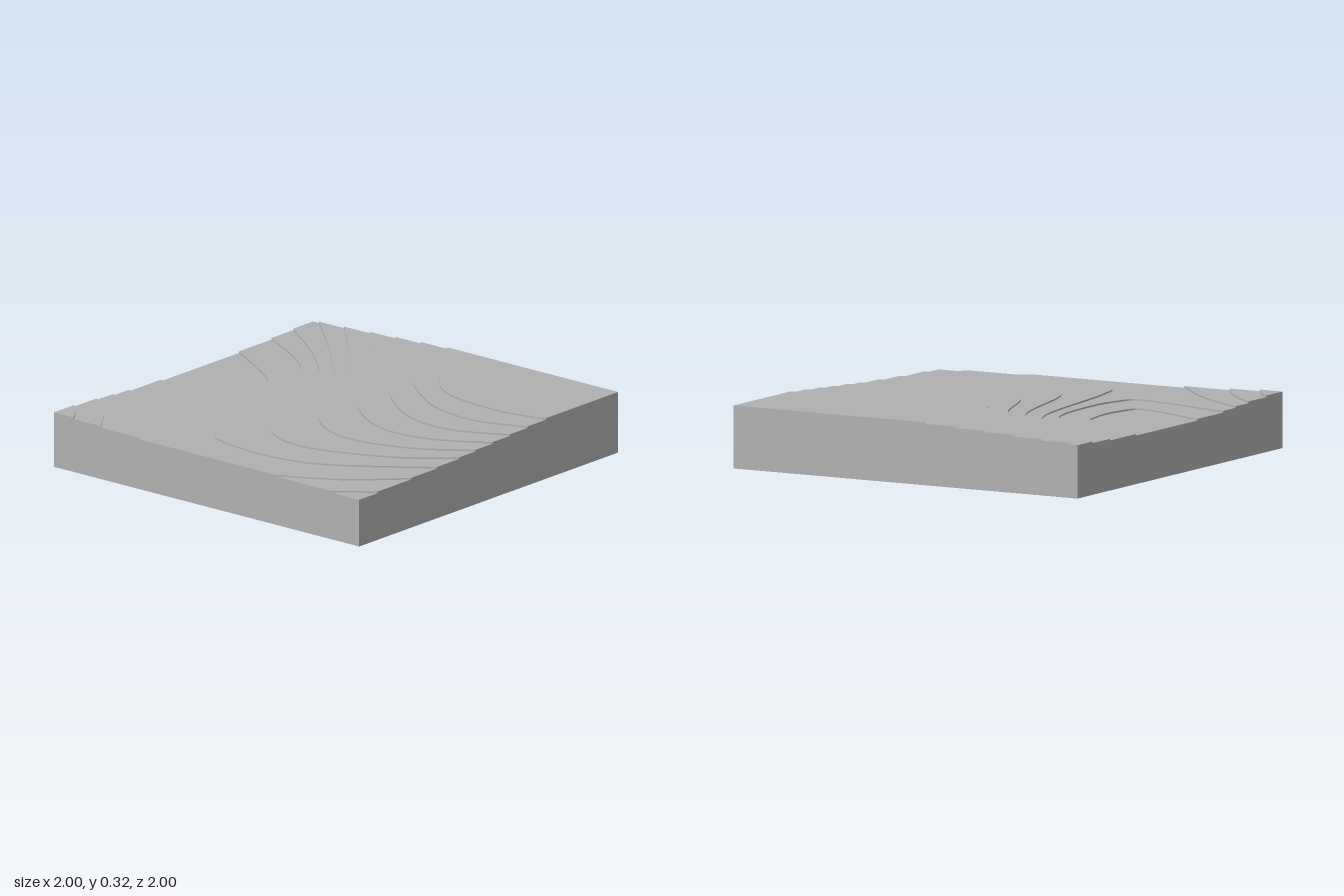
import * as THREE from 'three';

const BASE = 0.245; // height of the lowest terrace
const STEP = 0.0081; // rise of each terrace
const FRONT_LEFT = new THREE.Vector2(1, 1);
const BACK_LEFT = new THREE.Vector2(1, -1);
const BACK_RIGHT = new THREE.Vector2(-1, -1);

// Smooth contour through x, z pairs, kept inside the square
function contour(...xz) {
  const points = [];
  for (let i = 0; i < xz.length; i += 2) points.push(new THREE.Vector2(xz[i], xz[i + 1]));
  return new THREE.SplineCurve(points).getPoints(points.length * 8).map((p) => p.clampScalar(-1, 1));
}

// Main slope contour for levels 4 to 9, blended between levels 4, 6 and 9
const SLOPE = {
  4: [-0.23, 1, -0.45, 0.7, -0.59, 0.25, -0.42, -0.06, 0.24, -0.25, 0.6, -0.54, 1, -0.96],
  6: [0.03, 1, -0.13, 0.7, -0.14, 0.4, 0.04, 0.11, 0.35, -0.09, 0.65, -0.33, 1, -0.63],
  9: [0.44, 1, 0.39, 0.75, 0.41, 0.45, 0.47, 0.3, 0.56, 0.2, 0.76, 0.03, 1, -0.12],
};
function slopeOutline(k) {
  const low = ((k - 6) * (k - 9)) / 10;
  const mid = ((k - 4) * (k - 9)) / -6;
  const high = ((k - 4) * (k - 6)) / 15;
  const xz = SLOPE[4].map((v, i) => low * v + mid * SLOPE[6][i] + high * SLOPE[9][i]);
  return [...contour(...xz), FRONT_LEFT];
}

// Corner knoll that reaches a along the right side and b along the back
function knollOutline(a, b) {
  return [...contour(-1, a - 1, 0.55 * b - 1, 0.55 * a - 1, b - 1, -1), BACK_RIGHT];
}

// Low ground: everything but the front corner and the hollow at the back
function lowOutline(corner, hollow) {
  return [...corner, BACK_RIGHT, ...hollow, BACK_LEFT, FRONT_LEFT];
}

// Outlines of each terrace, from the lowest up
function terraceOutlines() {
  return [
    [lowOutline(
      contour(-0.86, 1, -0.92, 0.91, -1, 0.82),
      contour(-0.17, -1, -0.33, -0.6, -0.2, -0.52, 0, -0.52, 0.18, -0.6, 0.43, -1),
    )],
    [lowOutline(
      contour(-0.6, 1, -0.83, 0.75, -1, 0.45),
      contour(-0.42, -1, -0.55, -0.47, -0.43, -0.36, -0.18, -0.34, 0.15, -0.39, 0.46, -0.63, 0.68, -1),
    )],
    [
      [...contour(-0.4, 1, -0.76, 0.45, -0.77, -0.09, -0.58, -0.21, 0.19, -0.33, 0.53, -0.58, 0.85, -1), BACK_LEFT, FRONT_LEFT],
      knollOutline(0.57, 0.46),
    ],
    [slopeOutline(4), knollOutline(0.31, 0.33)],
    [slopeOutline(5), knollOutline(0.13, 0.16)],
    ...[6, 7, 8, 9].map((k) => [slopeOutline(k)]),
  ];
}

export function createModel() {
  const model = new THREE.Group();
  model.name = 'terracedTerrain';
  const stone = new THREE.MeshStandardMaterial({ color: 0xb0b0b0 });
  stone.name = 'grey';

  // Square block under the terraces
  const block = new THREE.Mesh(new THREE.BoxGeometry(2, BASE, 2), stone);
  block.name = 'baseBlock';
  block.position.y = BASE / 2;
  model.add(block);

  // Thin contour slabs stacked on the block
  terraceOutlines().forEach((outlines, i) => {
    const shapes = outlines.map((points) => new THREE.Shape(points));
    const slab = new THREE.ExtrudeGeometry(shapes, { depth: STEP, bevelEnabled: false });
    slab.rotateX(Math.PI / 2); // shape y becomes z, depth points down
    const terrace = new THREE.Mesh(slab, stone);
    terrace.name = `terrace${i + 1}`;
    terrace.position.y = BASE + STEP * (i + 1);
    model.add(terrace);
  });
  return model;
}
